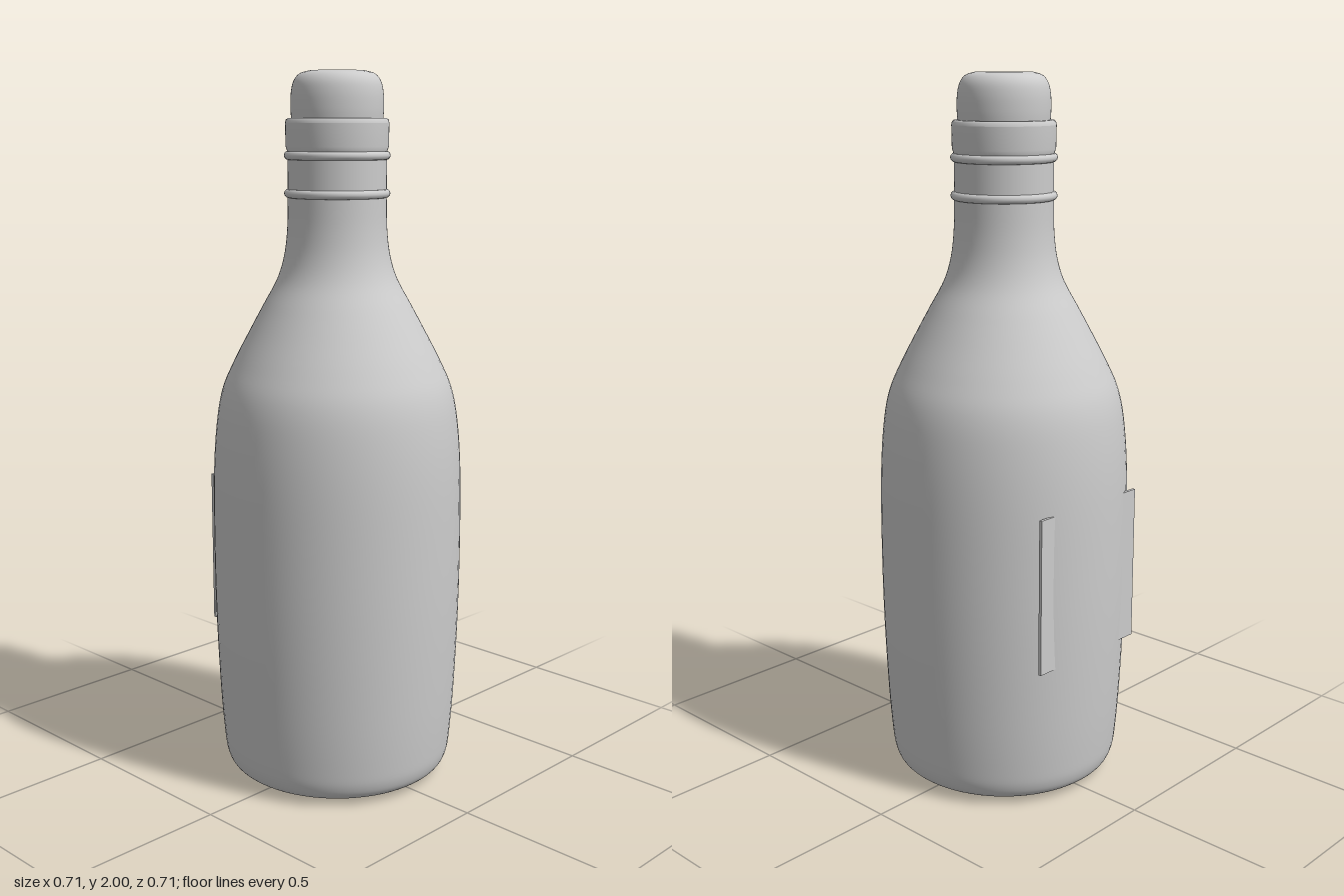
import * as THREE from 'three';

const v = (pts) => pts.map(([r, y]) => new THREE.Vector2(r, y));

export function createModel() {
  const group = new THREE.Group();
  const grey = new THREE.MeshStandardMaterial({ color: 0xcccccc });
  grey.name = 'plain grey';

  const add = (name, geometry, y = 0, z = 0) => {
    const mesh = new THREE.Mesh(geometry, grey);
    mesh.name = name;
    mesh.position.set(0, y, z);
    group.add(mesh);
    return mesh;
  };
  const turned = (name, points) => add(name, new THREE.LatheGeometry(points, 72));

  // Bottle body: smooth curve from the base up to the neck
  const side = new THREE.SplineCurve(v([
    [0.2, 0.006], [0.27, 0.012], [0.308, 0.028], [0.326, 0.06], [0.334, 0.12],
    [0.343, 0.25], [0.351, 0.45], [0.354, 0.65], [0.352, 0.88], [0.342, 1.03],
    [0.324, 1.13], [0.29, 1.21], [0.243, 1.3], [0.205, 1.37], [0.167, 1.44],
    [0.147, 1.505], [0.138, 1.58], [0.136, 1.67],
  ]));
  turned('body', [new THREE.Vector2(0, 0.004), ...side.getPoints(90)]);

  // Neck between the two rings
  turned('neck', v([[0.136, 1.66], [0.136, 1.79]]));

  // Neck rings
  for (const y of [1.674, 1.776]) {
    const ring = add('neckRing', new THREE.TorusGeometry(0.134, 0.012, 12, 72), y);
    ring.rotation.x = Math.PI / 2;
  }

  // Collar under the cap, with a flat lip
  turned('collar', v([[0.136, 1.785], [0.141, 1.8], [0.142, 1.862]]));
  turned('collarLip', v([[0.142, 1.862], [0.14, 1.871], [0.135, 1.875], [0.118, 1.875]]));

  // Rounded cap
  const capSide = new THREE.SplineCurve(v([
    [0.125, 1.87], [0.127, 1.9], [0.126, 1.94], [0.119, 1.972], [0.103, 1.992], [0.078, 2],
  ]));
  turned('cap', capSide.getPoints(24));
  turned('capTop', v([[0.078, 2], [0, 2]]));

  // Flat plate through the back, its two edges showing outside the body
  add('backPlate', new THREE.BoxGeometry(0.395, 0.44, 0.009), 0.64, -0.317);

  return group;
}
